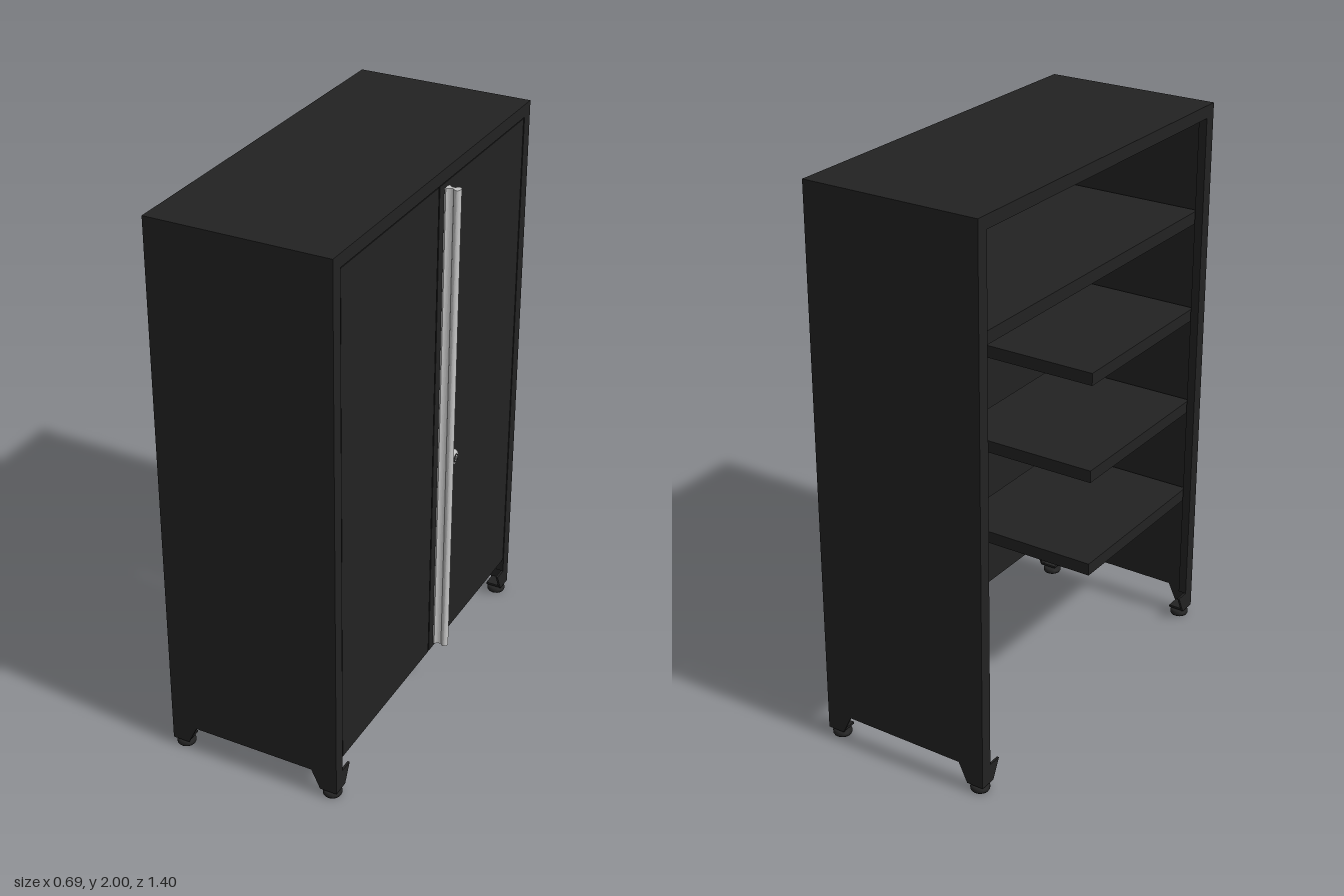
import * as THREE from 'three';

export function createModel() {
  const model = new THREE.Group();
  model.name = 'cabinet';
  const black = new THREE.MeshStandardMaterial({ name: 'black steel', color: 0x222222 });
  const chrome = new THREE.MeshStandardMaterial({ name: 'brushed metal', color: 0xc4c4c4 });
  const dark = new THREE.MeshStandardMaterial({ name: 'keyhole black', color: 0x3a3a3a });

  const add = (name, geometry, material = black, parent = model) => {
    const mesh = new THREE.Mesh(geometry, material);
    mesh.name = name;
    parent.add(mesh);
    return mesh;
  };
  // Box given by its limits on each axis
  const box = (name, x0, x1, y0, y1, z0, z1, material = black, parent = model) => {
    const mesh = add(name, new THREE.BoxGeometry(x1 - x0, y1 - y0, z1 - z0), material, parent);
    mesh.position.set((x0 + x1) / 2, (y0 + y1) / 2, (z0 + z1) / 2);
    return mesh;
  };

  const BACK = -0.345, FRONT = 0.295, W = 0.7, INNER = 0.655, T = 0.012;

  // Shell: top, side walls and the frames around both openings
  box('topPanel', BACK, FRONT, 2 - T, 2, -W, W);
  for (const s of [-1, 1]) {
    const span = (a, b) => (s > 0 ? [a, b] : [-b, -a]);
    box('sidePanel', BACK, FRONT, 0.1, 2 - T, ...span(W - T, W));
    box('frontPost', FRONT - 0.03, FRONT, 0.1, 2 - T, ...span(INNER, W - T));
    box('backPost', BACK, BACK + 0.03, 0.1, 2 - T, ...span(INNER, W - T));
  }
  box('frontHeader', FRONT - 0.03, FRONT, 1.955, 2 - T, -INNER, INNER);
  box('backHeader', BACK, BACK + 0.03, 1.955, 2 - T, -INNER, INNER);

  // Doors with a slim gap around them
  box('leftDoor', FRONT - 0.025, FRONT - 0.002, 0.155, 1.95, 0.003, 0.65);
  box('rightDoor', FRONT - 0.025, FRONT - 0.002, 0.155, 1.95, -0.652, -0.003);

  // Shelves: thin plates with a lip folded down all round
  const shelf = (top, z0, z1) => {
    const g = new THREE.Group();
    g.name = 'shelf';
    model.add(g);
    const x0 = -0.31, x1 = 0.255, t = 0.01, low = top - 0.045;
    box('shelfPlate', x0, x1, top - t, top, z0, z1, black, g);
    box('shelfBackLip', x0, x0 + t, low, top - t, z0, z1, black, g);
    box('shelfFrontLip', x1 - t, x1, low, top - t, z0, z1, black, g);
    box('shelfEndLip', x0 + t, x1 - t, low, top - t, z0, z0 + t, black, g);
    box('shelfEndLip', x0 + t, x1 - t, low, top - t, z1 - t, z1, black, g);
  };
  [0.53, 0.89, 1.25].forEach((y) => shelf(y, 0, 0.68));
  shelf(1.615, -0.68, 0.68);

  // Full-height pull: a waisted rail section extruded upwards
  const section = new THREE.Shape();
  section.moveTo(0, -0.017);
  section.lineTo(0.005, -0.017);
  section.quadraticCurveTo(0.012, -0.006, 0.027, -0.006);
  section.quadraticCurveTo(0.033, -0.017, 0.042, -0.015);
  section.quadraticCurveTo(0.05, -0.012, 0.05, 0);
  section.quadraticCurveTo(0.05, 0.012, 0.042, 0.015);
  section.quadraticCurveTo(0.033, 0.017, 0.027, 0.006);
  section.quadraticCurveTo(0.012, 0.006, 0.005, 0.017);
  section.lineTo(0, 0.017);
  const railGeo = new THREE.ExtrudeGeometry(section, { depth: 1.765, bevelEnabled: false, curveSegments: 6 });
  railGeo.rotateX(-Math.PI / 2);
  add('doorHandle', railGeo, chrome).position.set(FRONT, 0.17, -0.048);

  // Lock knob
  const lock = new THREE.Group();
  lock.name = 'lock';
  lock.position.set(FRONT - 0.002, 0.895, -0.142);
  lock.rotation.z = -Math.PI / 2;
  model.add(lock);
  const knob = [[0.029, 0], [0.029, 0.011], [0.024, 0.018], [0.014, 0.02], [0, 0.02]];
  add('lockKnob', new THREE.LatheGeometry(knob.map((p) => new THREE.Vector2(...p)), 24), chrome, lock);
  const ring = add('lockRing', new THREE.TorusGeometry(0.014, 0.002, 6, 24), dark, lock);
  ring.rotation.x = Math.PI / 2;
  ring.position.y = 0.02;
  box('keyhole', -0.007, 0.007, 0.018, 0.0215, -0.002, 0.002, dark, lock);

  // Feet: tapered corner brackets on round levelling pads
  const wing = new THREE.Shape([[0, 0.1], [0, 0.03], [0.062, 0.03], [0.095, 0.1]].map((p) => new THREE.Vector2(...p)));
  const wingGeo = new THREE.ExtrudeGeometry(wing, { depth: 0.008, bevelEnabled: false });
  const padProfile = [[0, 0], [0.03, 0], [0.033, 0.005], [0.033, 0.015], [0.028, 0.021], [0, 0.021]];
  const padGeo = new THREE.LatheGeometry(padProfile.map((p) => new THREE.Vector2(...p)), 20);
  for (const sx of [-1, 1]) {
    for (const sz of [-1, 1]) {
      const foot = new THREE.Group();
      foot.name = 'foot';
      foot.position.set(sx > 0 ? FRONT : BACK, 0, sz * W);
      foot.scale.set(-sx, 1, -sz);
      model.add(foot);
      add('footSideBracket', wingGeo, black, foot);
      const end = add('footEndBracket', wingGeo, black, foot);
      end.rotation.y = -Math.PI / 2;
      end.position.x = 0.008;
      box('footPlate', 0.002, 0.06, 0.03, 0.038, 0.002, 0.06, black, foot);
      add('footPad', padGeo, black, foot).position.set(0.032, 0, 0.032);
      const stem = add('footStem', new THREE.CylinderGeometry(0.01, 0.01, 0.012, 12), chrome, foot);
      stem.position.set(0.032, 0.026, 0.032);
    }
  }
  return model;
}
